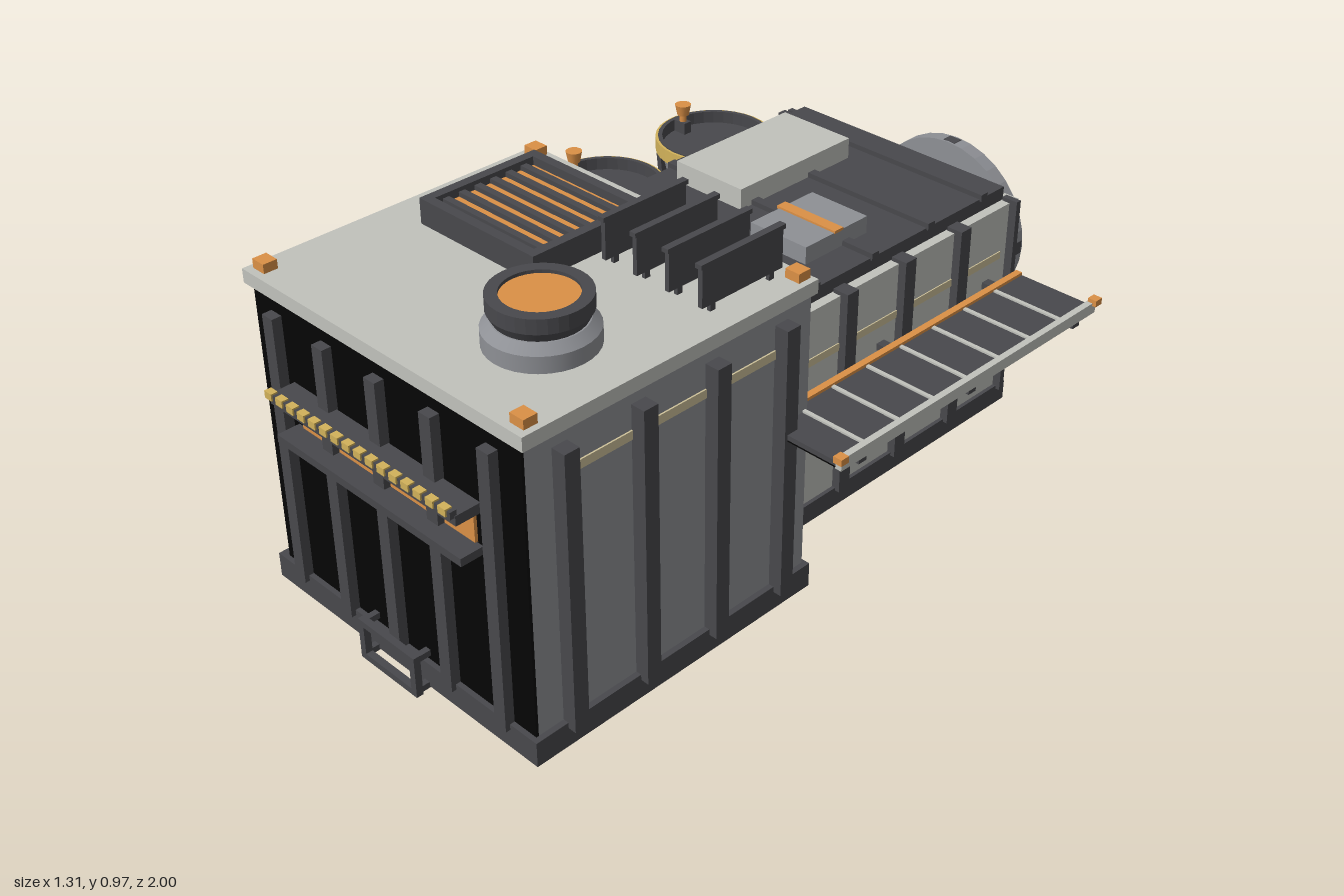
import * as THREE from 'three';

const mat = (name, color, side = THREE.FrontSide) => {
  const m = new THREE.MeshStandardMaterial({ color, side });
  m.name = name;
  return m;
};

export function createModel() {
  const black = mat('black panel', 0x050505);
  const dark = mat('dark steel', 0x48484c);
  const grey = mat('mid grey', 0x8e9095, THREE.DoubleSide);
  const light = mat('light grey', 0xc1c2bc);
  const orange = mat('orange', 0xdb9046);
  const yellow = mat('hazard yellow', 0xd2b25a);
  const tan = mat('faded stripe', 0xcdc199);
  const root = new THREE.Group();

  const add = (name, geo, m, x = 0, y = 0, z = 0, parent = root) => {
    const mesh = new THREE.Mesh(geo, m);
    mesh.name = name;
    mesh.position.set(x, y, z);
    parent.add(mesh);
    return mesh;
  };
  // box from its minimum and maximum on each axis
  const box = (name, m, x0, x1, y0, y1, z0, z1, parent = root) =>
    add(name, new THREE.BoxGeometry(x1 - x0, y1 - y0, z1 - z0), m,
      (x0 + x1) / 2, (y0 + y1) / 2, (z0 + z1) / 2, parent);
  const cyl = (name, m, rTop, rBottom, h, x, y, z, parent = root, n = 32, open = false) =>
    add(name, new THREE.CylinderGeometry(rTop, rBottom, h, n, 1, open), m, x, y, z, parent);
  // straight bar between two points, in the parent's own frame
  const zAxis = new THREE.Vector3(0, 0, 1);
  const bar = (name, m, a, b, t, parent = root) => {
    const p = new THREE.Vector3(...a), d = new THREE.Vector3(...b).sub(p);
    const mesh = add(name, new THREE.BoxGeometry(t, t, d.length()), m, 0, 0, 0, parent);
    mesh.position.copy(p).addScaledVector(d, 0.5);
    mesh.quaternion.setFromUnitVectors(zAxis, d.normalize());
  };
  // washer with its axis along y, standing on the given y
  const ring = (name, m, rOut, rIn, h, x, y, z, parent = root) => {
    const profile = [[rIn, 0], [rOut, 0], [rOut, h], [rIn, h], [rIn, 0]].map(p => new THREE.Vector2(...p));
    const g = new THREE.LatheGeometry(profile, 32).toNonIndexed();
    g.computeVertexNormals();
    add(name, g, m, x, y, z, parent);
  };

  // front container
  box('mainBase', dark, -0.455, 0.46, 0.01, 0.075, 0.08, 0.93);
  box('mainBody', grey, -0.43, 0.445, 0.075, 0.81, 0.09, 0.91);
  box('frontPanel', black, -0.43, 0.445, 0.075, 0.805, 0.91, 0.917);
  box('mainRoof', light, -0.455, 0.46, 0.81, 0.845, 0.085, 0.925);
  for (const x of [-0.353, -0.176, 0.002, 0.18, 0.358])
    box('frontRib', dark, x - 0.018, x + 0.018, 0.06, 0.773, 0.915, 0.942);
  for (const s of [-1, 1]) {
    const side = s > 0 ? 0.445 : -0.43, out = s > 0 ? 0.482 : -0.48;
    for (const z of [0.82, 0.607, 0.395, 0.183])
      box('sideRib', dark, Math.min(side, out), Math.max(side, out), 0.06, 0.773, z - 0.02, z + 0.02);
    box('sideStripe', tan, side - 0.004, side + 0.004, 0.69, 0.712, 0.185, 0.82);
    for (const z of [0.112, 0.888])
      box('roofLamp', orange, s * 0.422 - 0.018, s * 0.422 + 0.022, 0.845, 0.868, z - 0.018, z + 0.018);
  }

  // front rack and step
  box('rackUpperShelf', dark, -0.31, 0.315, 0.592, 0.617, 0.92, 0.985);
  box('rackLip', dark, -0.308, 0.313, 0.612, 0.63, 0.979, 0.996);
  for (let i = 0; i < 16; i++) {
    const x = -0.306 + i * 0.039;
    box('rackHazardMark', yellow, x, x + 0.024, 0.616, 0.634, 0.982, 1.0);
  }
  box('rackLowerShelf', dark, -0.31, 0.315, 0.488, 0.508, 0.92, 0.98);
  box('rackGlowPanel', orange, -0.29, 0.295, 0.508, 0.586, 0.917, 0.925);
  for (const s of [-1, 1]) {
    const x = 0.004 + s * 0.09;
    box('stepPost', dark, x - 0.009, x + 0.009, 0.005, 0.11, 0.95, 0.968);
    for (const y of [0.014, 0.1]) box('stepArm', dark, x - 0.008, x + 0.008, y - 0.008, y + 0.008, 0.92, 0.955);
  }
  for (const y of [0.009, 0.102])
    box('stepBar', dark, -0.095, 0.103, y - 0.009, y + 0.008, 0.95, 0.968);

  // slatted roof vent
  box('ventGlow', orange, -0.325, 0.025, 0.845, 0.888, 0.2, 0.505);
  for (const x of [-0.34, 0.017]) box('ventFrameSide', dark, x, x + 0.025, 0.845, 0.91, 0.185, 0.525);
  for (const z of [0.185, 0.5]) box('ventFrameEnd', dark, -0.34, 0.042, 0.845, 0.91, z, z + 0.025);
  for (let i = 0; i < 6; i++) {
    const z = 0.24 + i * 0.046;
    box('ventSlat', dark, -0.32, 0.02, 0.885, 0.9, z - 0.009, z + 0.009);
  }

  // round roof fan
  const fan = new THREE.Group();
  fan.name = 'roofFan';
  fan.position.set(0.227, 0, 0.667);
  root.add(fan);
  cyl('fanBase', grey, 0.126, 0.126, 0.04, 0, 0.865, 0, fan);
  cyl('fanTaper', grey, 0.105, 0.126, 0.02, 0, 0.895, 0, fan);
  cyl('fanNeck', dark, 0.113, 0.1, 0.025, 0, 0.915, 0, fan);
  ring('fanCollar', dark, 0.113, 0.085, 0.036, 0, 0.927, 0, fan);
  cyl('fanGlow', orange, 0.086, 0.086, 0.02, 0, 0.945, 0, fan);

  // upright roof fins
  for (const x of [0.094, 0.191, 0.288, 0.385]) {
    box('finPlate', dark, x - 0.006, x + 0.006, 0.862, 0.96, 0.125, 0.37);
    box('finCap', dark, x - 0.009, x + 0.009, 0.957, 0.968, 0.12, 0.376);
    for (const z of [0.15, 0.33]) box('finFoot', dark, x - 0.005, x + 0.005, 0.84, 0.865, z, z + 0.015);
  }

  // rear module
  box('rearBase', dark, -0.365, 0.37, 0.095, 0.148, -0.78, 0.075);
  box('rearBody', light, -0.355, 0.36, 0.148, 0.68, -0.78, 0.065);
  box('rearRoof', dark, -0.325, 0.335, 0.68, 0.715, -0.75, 0.045);
  for (const z of [-0.05, -0.255, -0.46, -0.665])
    box('rearRoofRib', dark, -0.33, 0.34, 0.71, 0.728, z - 0.012, z + 0.012);
  for (const s of [-1, 1]) {
    const f = 0.002 + s * 0.358;
    for (const z of [0.052, -0.13, -0.337, -0.545, -0.752]) {
      const w = Math.abs(z + 0.35) > 0.35 ? 0.008 : 0.019;
      box('rearRib', dark, f - 0.022, f + 0.022, 0.14, 0.69, z - w, z + w);
    }
    box('rearOrangeStripe', orange, f - 0.008, f + 0.008, 0.318, 0.334, -0.735, 0.045);
    box('rearPaleStripe', tan, f - 0.003, f + 0.003, 0.535, 0.555, -0.72, 0.03);
    box('rearLamp', orange, s * 0.335 - 0.015, s * 0.335 + 0.015, 0.68, 0.725, 0.03, 0.06);
  }
  box('roofCabinet', light, -0.26, -0.042, 0.71, 0.77, -0.6, -0.205);
  box('roofUnit', grey, 0.075, 0.248, 0.71, 0.76, -0.33, -0.115);
  box('roofUnitBand', orange, 0.068, 0.25, 0.758, 0.765, -0.242, -0.212);

  // rear duct, flange and clamps; local +y points backwards
  const duct = new THREE.Group();
  duct.name = 'rearDuct';
  duct.position.set(0.002, 0.414, -0.78);
  duct.rotation.x = -Math.PI / 2;
  root.add(duct);
  cyl('ductCone', grey, 0.16, 0.125, 0.18, 0, 0.09, 0, duct);
  cyl('ductBand', orange, 0.147, 0.143, 0.022, 0, 0.085, 0, duct, 32, true);
  ring('ductFlange', grey, 0.238, 0.15, 0.04, 0, 0.175, 0, duct);
  ring('ductHazardRing', yellow, 0.188, 0.15, 0.005, 0, 0.213, 0, duct);
  cyl('ductCover', dark, 0.152, 0.152, 0.025, 0, 0.203, 0, duct);
  for (let i = 0; i < 4; i++) {
    const a = i * Math.PI / 2, c = Math.cos(a), s = Math.sin(a);
    add('flangeClamp', new THREE.BoxGeometry(0.036, 0.03, 0.036), dark, c * 0.22, 0.195, s * 0.22, duct);
    const d = a + Math.PI / 4, u = Math.cos(d), v = Math.sin(d);
    bar('ductStrut', dark, [u * 0.165, 0, v * 0.165], [u * 0.21, 0.18, v * 0.21], 0.014, duct);
  }

  // truss below the rear module
  const steps = [0.068, -0.152, -0.373, -0.593, -0.813];
  for (const x of [-0.09, 0.09]) {
    for (const y of [0.016, 0.088]) bar('trussRail', dark, [x, y, 0.075], [x, y, -0.822], 0.014);
    steps.forEach((z, i) => {
      bar('trussPost', dark, [x, 0.016, z], [x, 0.09, z], 0.012);
      if (i < 4) bar('trussDiagonal', dark, [x, i % 2 ? 0.016 : 0.09, z], [x, i % 2 ? 0.09 : 0.016, steps[i + 1]], 0.011);
    });
  }
  steps.forEach((z, i) => {
    bar('trussCross', dark, [-0.09, 0.016, z], [0.09, 0.016, z], 0.012);
    if (i < 4) bar('trussBrace', dark, [i % 2 ? 0.09 : -0.09, 0.016, z], [i % 2 ? -0.09 : 0.09, 0.016, steps[i + 1]], 0.01);
  });

  // side platform with slats, edge trims and arms
  box('platformPanel', dark, 0.42, 0.63, 0.492, 0.505, -0.735, 0.195);
  box('platformUnderside', black, 0.42, 0.63, 0.488, 0.492, -0.735, 0.195);
  box('platformInnerTrim', orange, 0.405, 0.423, 0.49, 0.513, -0.735, 0.195);
  box('platformOuterTrim', light, 0.625, 0.642, 0.49, 0.52, -0.735, 0.2);
  for (let i = 0; i < 7; i++) {
    const z = -0.622 + i * 0.1205;
    box('platformSlat', light, 0.425, 0.628, 0.505, 0.51, z - 0.005, z + 0.005);
  }
  for (const z of [0.12, -0.265, -0.67])
    box('platformArm', dark, 0.35, 0.635, 0.472, 0.49, z - 0.013, z + 0.013);
  for (const z of [-0.733, 0.2])
    box('platformLamp', orange, 0.628, 0.652, 0.513, 0.53, z - 0.012, z + 0.012);

  // pressure tank
  const tankProfile = [[0, 0.15], [0.055, 0.152], [0.082, 0.17], [0.095, 0.2], [0.095, 0.48],
    [0.087, 0.515], [0.06, 0.54], [0.03, 0.548], [0, 0.55]].map(p => new THREE.Vector2(...p));
  add('pressureTank', new THREE.LatheGeometry(tankProfile, 28), yellow, -0.513, 0, 0.195);
  cyl('tankBand', orange, 0.0965, 0.0965, 0.032, -0.513, 0.4, 0.195, root, 28, true);

  // two hoppers in frames
  for (const z of [-0.58, -0.18]) {
    const hopper = new THREE.Group();
    hopper.name = 'hopper';
    hopper.position.set(-0.495, 0, z);
    root.add(hopper);
    cyl('hopperCone', grey, 0.145, 0.062, 0.345, 0, 0.43, 0, hopper, 20, true);
    ring('hopperHazardBand', yellow, 0.158, 0.149, 0.037, 0, 0.595, 0, hopper);
    ring('hopperRim', dark, 0.151, 0.14, 0.04, 0, 0.595, 0, hopper);
    cyl('hopperMouth', dark, 0.145, 0.14, 0.015, 0, 0.595, 0, hopper, 20);
    box('hopperOutlet', grey, -0.08, 0.08, 0.16, 0.265, -0.08, 0.08, hopper);
    for (let i = 0; i < 4; i++) {
      const a = Math.PI / 4 + i * Math.PI / 2, c = Math.cos(a), s = Math.sin(a);
      bar('hopperStrut', dark, [c * 0.112, 0.17, s * 0.112], [c * 0.146, 0.6, s * 0.146], 0.016, hopper);
    }
    bar('hopperBracket', dark, [0.06, 0.22, 0], [0.15, 0.22, 0], 0.04, hopper);
    cyl('beaconStem', orange, 0.01, 0.01, 0.03, -0.118, 0.645, 0, hopper, 12);
    cyl('beaconCap', orange, 0.022, 0.016, 0.03, -0.118, 0.669, 0, hopper, 12);
    box('beaconBase', dark, -0.14, -0.1, 0.6, 0.635, -0.012, 0.012, hopper);
  }
  return root;
}
